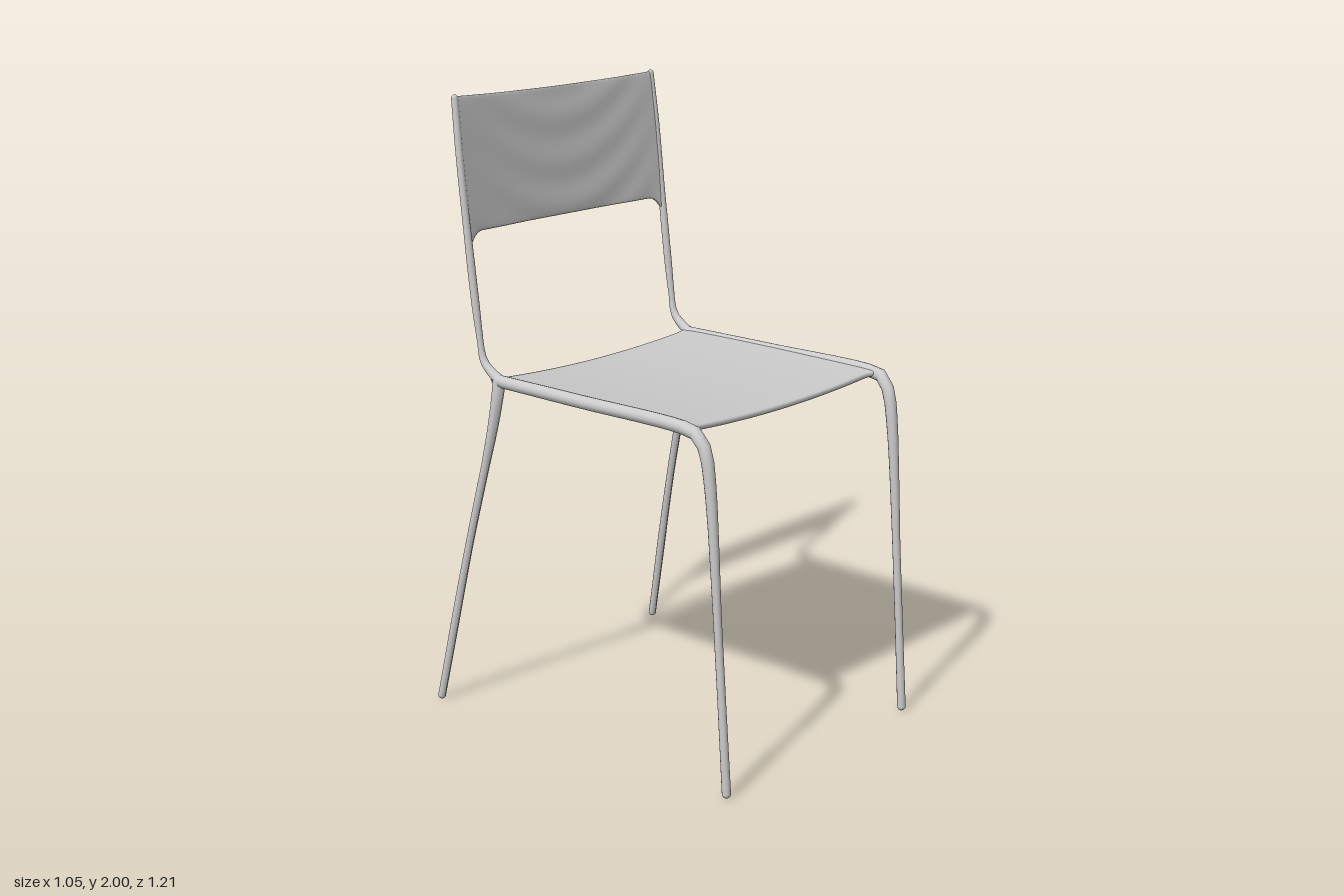
import * as THREE from 'three';

const material = new THREE.MeshStandardMaterial({ color: 0xcccccc, side: THREE.DoubleSide });
const HALF = 0.44;

function addMesh(parent, geometry, name) {
  const mesh = new THREE.Mesh(geometry, material);
  mesh.name = name;
  parent.add(mesh);
  return mesh;
}

// Tapered rod through points, with rounded ends; radii are spread evenly along it
function rod(parent, name, points, radii) {
  const part = new THREE.Group();
  part.name = name;
  const curve = new THREE.CatmullRomCurve3(points.map(p => new THREE.Vector3(...p)), false, 'centripetal');
  const rings = 40, sides = 12;
  const geometry = new THREE.TubeGeometry(curve, rings, 1, sides);
  const pos = geometry.attributes.position;
  const v = new THREE.Vector3();
  for (let i = 0; i <= rings; i++) {
    const t = i / rings * (radii.length - 1);
    const k = Math.min(Math.floor(t), radii.length - 2);
    const r = THREE.MathUtils.lerp(radii[k], radii[k + 1], t - k);
    const centre = curve.getPointAt(i / rings);
    for (let j = 0; j <= sides; j++) {
      const n = i * (sides + 1) + j;
      v.fromBufferAttribute(pos, n).sub(centre).multiplyScalar(r).add(centre);
      pos.setXYZ(n, v.x, v.y, v.z);
    }
  }
  geometry.computeVertexNormals();
  addMesh(part, geometry, name + 'Tube');
  [0, 1].forEach(e => {
    const cap = addMesh(part, new THREE.SphereGeometry(radii[e * (radii.length - 1)], 12, 8), name + 'End');
    cap.position.copy(curve.getPointAt(e));
  });
  parent.add(part);
}

// Thin closed slab with rounded rim: section loops run around v, stacked along u.
// place(u, v, s): u and v in -1..1, s = +1 / -1 for the two faces
function slab(place, nu = 48, nv = 16) {
  const positions = [], index = [];
  const loop = 2 * nv;
  for (let i = 0; i <= nu; i++) {
    const u = -1 + 2 * i / nu;
    for (let j = 0; j < loop; j++) {
      const a = j / loop * Math.PI * 2;
      const c = Math.cos(a), s = Math.sin(a);
      const v = Math.sign(c) * (1 - Math.pow(1 - Math.abs(c), 1.15));
      const side = Math.sign(s) * Math.min(1, Math.pow(Math.abs(s), 0.35));
      positions.push(...place(u, v, side));
    }
  }
  for (let i = 0; i < nu; i++) for (let j = 0; j < loop; j++) {
    const a = i * loop + j, b = i * loop + (j + 1) % loop;
    index.push(a, b, a + loop, b, b + loop, a + loop);
  }
  const geometry = new THREE.BufferGeometry();
  geometry.setAttribute('position', new THREE.Float32BufferAttribute(positions, 3));
  geometry.setIndex(index);
  geometry.computeVertexNormals();
  return geometry;
}

// Corner flare: zero over the middle, rising to 1 at both ends
const flare = u => Math.pow(Math.max(0, (Math.abs(u) - 0.86) / 0.14), 2);

export function createModel() {
  const chair = new THREE.Group();
  chair.name = 'chair';
  const frame = new THREE.Group();
  frame.name = 'frame';
  frame.position.x = -0.004;
  chair.add(frame);

  // Seat: gently sagging across, corners flaring into the legs
  addMesh(frame, slab((u, v, s) => {
    const front = 0.448 + 0.025 * flare(u), back = -0.364 - 0.02 * flare(u);
    const y = 1.1 + 0.02 * u * u + s * 0.0145;
    return [u * 0.45, y, THREE.MathUtils.lerp(back, front, (v + 1) / 2)];
  }), 'seat');

  // Backrest: bowed backwards, leaning, with shallow draped ripples
  addMesh(frame, slab((u, v, s) => {
    const top = 1.982 + 0.01 * u * u, bottom = 1.572 - 0.06 * flare(u);
    const y = THREE.MathUtils.lerp(bottom, top, (v + 1) / 2);
    const rise = (y - 1.57) / 0.42;
    const ripple = 0.0018 * Math.sin(2 * Math.PI * (3 * rise - 1.7 * u * u)) * (1 - u * u);
    const z = -0.478 - 0.046 * rise - 0.013 * (1 - u * u) + ripple + s * 0.007;
    return [u * 0.448, y, z];
  }, 56, 30), 'backrest');

  for (const [side, label] of [[1, 'left'], [-1, 'right']]) {
    const x = side * HALF;
    // Side rail bending down into the front leg
    rod(frame, label + 'FrontLeg', [
      [x, 1.118, -0.355], [x, 1.119, 0.0], [x, 1.119, 0.43], [x, 1.108, 0.475],
      [x * 0.993, 1.07, 0.502], [x * 0.99, 0.98, 0.52], [x * 0.99, 0.5, 0.557], [x * 0.99, 0.015, 0.592]
    ], [0.02, 0.021, 0.021, 0.021, 0.016, 0.013, 0.013, 0.014]);

    // Splayed back leg
    rod(frame, label + 'BackLeg', [
      [x, 1.118, -0.355], [side * 0.446, 1.07, -0.358], [side * 0.454, 0.95, -0.379],
      [side * 0.478, 0.55, -0.476], [side * 0.511, 0.014, -0.592]
    ], [0.021, 0.014, 0.013, 0.014, 0.013]);

    // Back post, thin at the joint and running up the panel edge
    rod(frame, label + 'BackPost', [
      [x, 1.125, -0.36], [side * 0.442, 1.145, -0.392], [side * 0.443, 1.175, -0.421], [side * 0.444, 1.25, -0.436],
      [side * 0.445, 1.57, -0.478], [side * 0.445, 1.8, -0.504], [side * 0.44, 1.986, -0.526]
    ], [0.017, 0.01, 0.013, 0.013, 0.012, 0.012, 0.012, 0.011]);
  }
  return chair;
}
